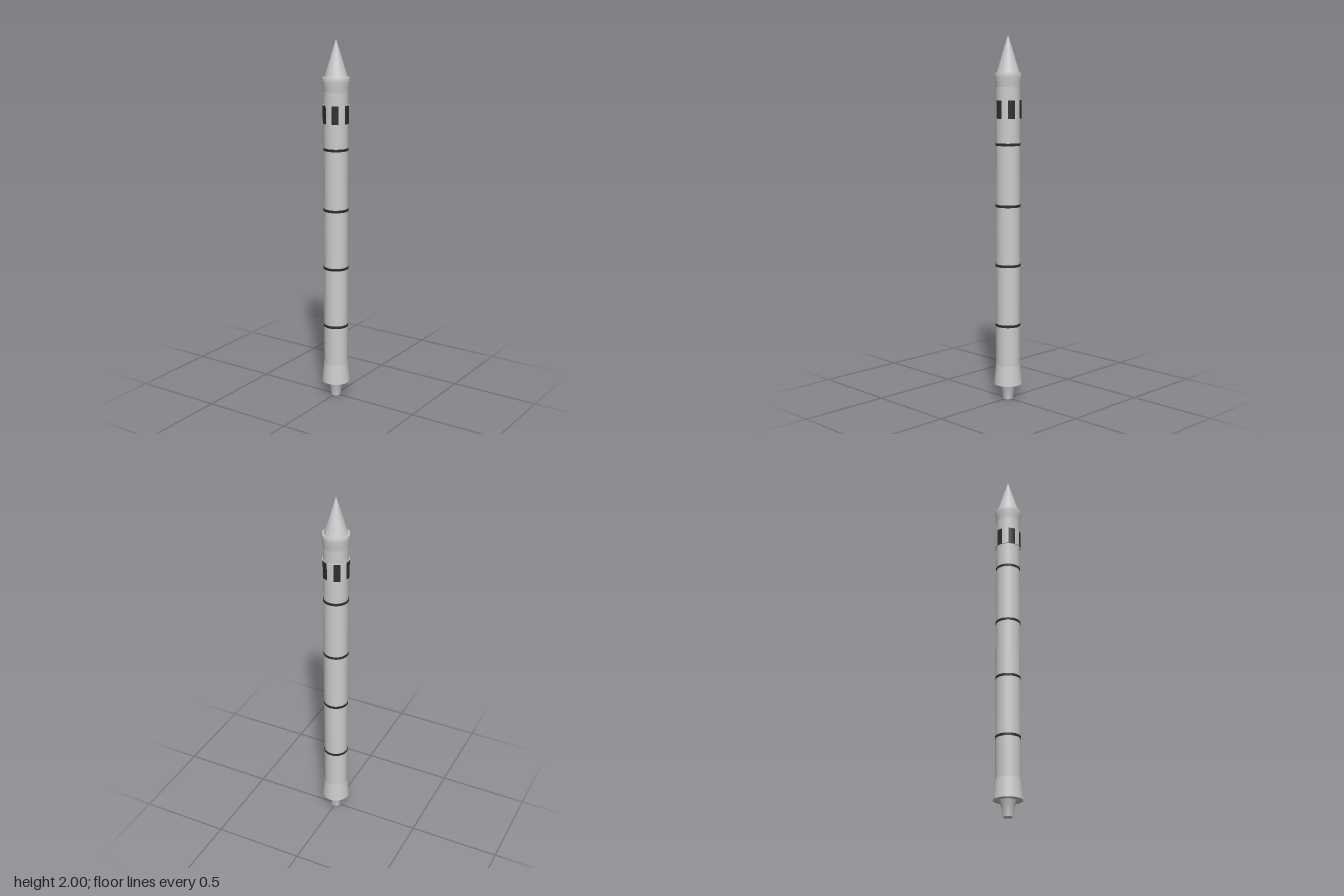
import * as THREE from 'three';
import { toCreasedNormals } from 'three/addons/utils/BufferGeometryUtils.js';

const SEGMENTS = 36;
const grey = new THREE.MeshStandardMaterial({ color: 0xcccccc });
const dark = new THREE.MeshStandardMaterial({ color: 0x2e2e2e });

// Turned part from [radius, height] pairs, listed from bottom to top
function turned(name, profile, material = grey) {
  const points = profile.map(([r, y]) => new THREE.Vector2(r, y));
  const geometry = toCreasedNormals(new THREE.LatheGeometry(points, SEGMENTS), 0.6);
  const mesh = new THREE.Mesh(geometry, material);
  mesh.name = name;
  return mesh;
}

export function createModel() {
  const rocket = new THREE.Group();
  rocket.name = 'rocket';

  // Nozzle, flared skirt, long body, collar and nose
  rocket.add(
    turned('nozzle', [[0, 0], [0.026, 0], [0.029, 0.03], [0.036, 0.06], [0.046, 0.09]]),
    turned('skirt', [[0, 0.087], [0.078, 0.087], [0.075, 0.12], [0.071, 0.16], [0.067, 0.197], [0, 0.197]]),
    turned('body', [[0.0665, 0.19], [0.0665, 1.73]]),
    turned('collar', [[0, 1.725], [0.0665, 1.725], [0.069, 1.75], [0.073, 1.78], [0.073, 1.79], [0.071, 1.8], [0, 1.8]]),
    turned('nose', [[0.062, 1.8], [0.04, 1.872], [0.02, 1.937], [0, 2]])
  );

  // Thin dark joint rings between the body sections
  for (const y of [0.423, 0.757, 1.085, 1.418]) {
    const h = 0.007;
    rocket.add(turned('jointRing', [[0.066, y - h], [0.068, y - h], [0.068, y + h], [0.066, y + h]], dark));
  }

  // Raised band of twelve alternating panels, a light one facing the front
  const band = new THREE.Group();
  band.name = 'panelBand';
  const step = Math.PI / 6;
  for (let i = 0; i < 12; i++) {
    const panel = new THREE.Mesh(
      new THREE.CylinderGeometry(0.0715, 0.0715, 0.098, 3, 1, true, (i - 0.5) * step, step),
      i % 2 ? dark : grey
    );
    panel.position.y = 1.606;
    panel.name = i % 2 ? 'darkPanel' : 'lightPanel';
    band.add(panel);
  }
  // Rims closing the band against the body
  band.add(
    turned('lowerRim', [[0.066, 1.557], [0.0715, 1.557]]),
    turned('upperRim', [[0.0715, 1.655], [0.066, 1.655]])
  );
  rocket.add(band);

  return rocket;
}
